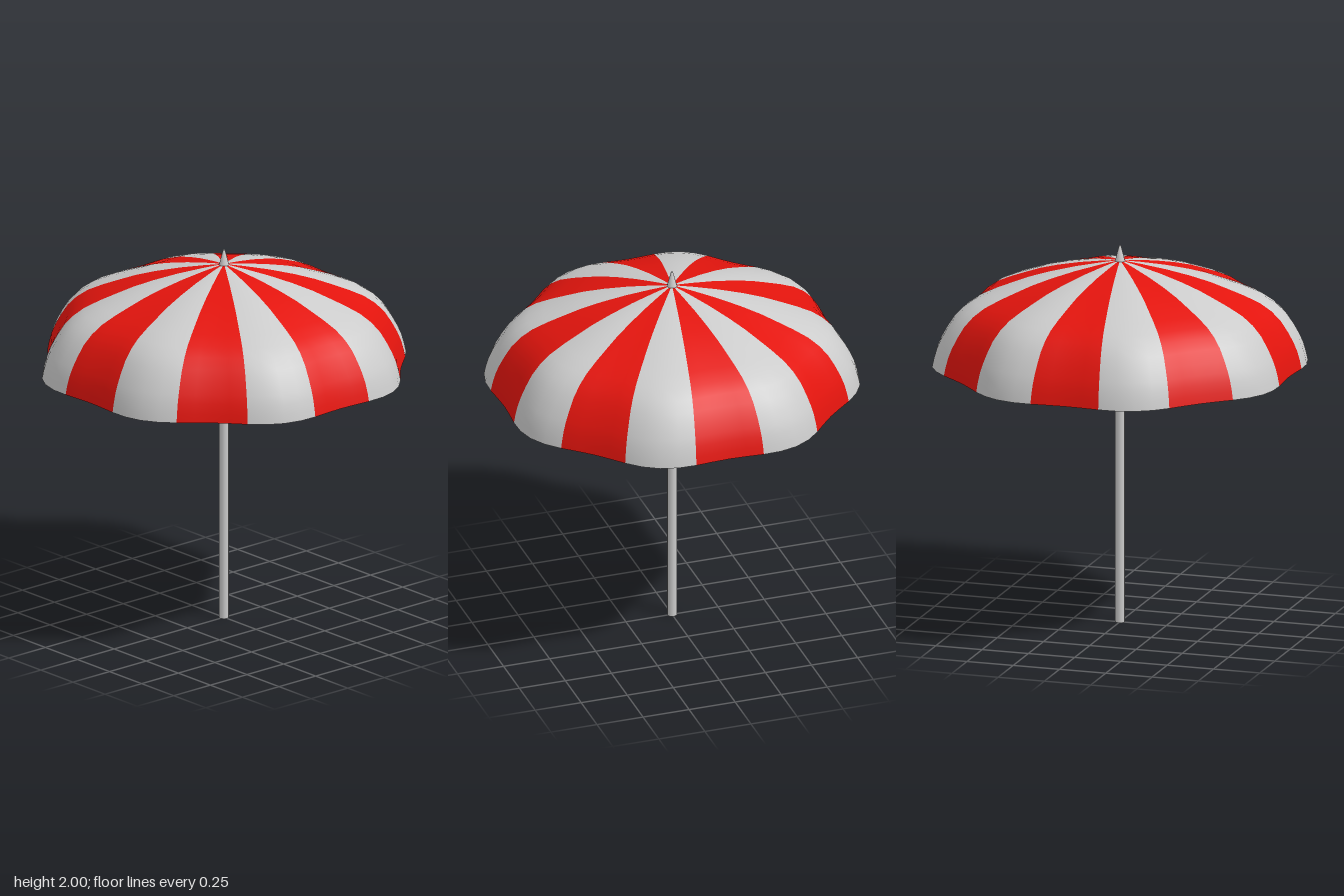
import * as THREE from 'three';

const STRIPES = 16, PER_STRIPE = 4, RINGS = 14;

// Scalloped canopy: one smooth grid, its faces shared out between red and grey stripes
function buildCanopy() {
  const profile = new THREE.SplineCurve([
    [0, 1.922], [0.22, 1.887], [0.45, 1.834], [0.613, 1.779], [0.77, 1.716],
    [0.873, 1.638], [0.942, 1.537], [0.98, 1.455], [1, 1.373],
  ].map(([r, y]) => new THREE.Vector2(r, y))).getPoints(RINGS);

  const around = STRIPES * PER_STRIPE;
  const positions = [];
  for (const p of profile) {
    for (let j = 0; j < around; j++) {
      const a = ((j - PER_STRIPE / 2) / around) * Math.PI * 2;
      const r = p.x * (0.939 - 0.029 * Math.cos(8 * a)); // grey stripes billow outward
      positions.push(r * Math.sin(a), p.y, r * Math.cos(a));
    }
  }

  const faces = [[], []];
  for (let i = 0; i < RINGS; i++) {
    for (let j = 0; j < around; j++) {
      const k = (j + 1) % around;
      const a = i * around + j, b = a + around;
      const d = i * around + k, c = d + around;
      const list = faces[Math.floor(j / PER_STRIPE) % 2];
      list.push(a, b, c);
      if (i > 0) list.push(a, c, d);
    }
  }

  const whole = new THREE.BufferGeometry();
  whole.setAttribute('position', new THREE.Float32BufferAttribute(positions, 3));
  whole.setIndex(faces.flat());
  whole.computeVertexNormals();

  const canopy = new THREE.Group();
  canopy.name = 'canopy';
  [['redStripes', 0xe3140d], ['greyStripes', 0xcccccc]].forEach(([name, color], n) => {
    const geometry = new THREE.BufferGeometry();
    geometry.setAttribute('position', whole.getAttribute('position'));
    geometry.setAttribute('normal', whole.getAttribute('normal'));
    geometry.setIndex(faces[n]);
    const mesh = new THREE.Mesh(geometry, new THREE.MeshStandardMaterial({ color, side: THREE.DoubleSide }));
    mesh.name = name;
    canopy.add(mesh);
  });
  return canopy;
}

export function createModel() {
  const model = new THREE.Group();
  model.name = 'parasol';
  const grey = new THREE.MeshStandardMaterial({ color: 0xcccccc });

  // Straight pole
  const pole = new THREE.Mesh(new THREE.CylinderGeometry(0.025, 0.025, 1.91, 12), grey);
  pole.name = 'pole';
  pole.position.y = 0.955;

  // Pointed tip above the canopy
  const finial = new THREE.Mesh(new THREE.CylinderGeometry(0.005, 0.027, 0.085, 12), grey);
  finial.name = 'finial';
  finial.position.y = 1.9575;

  model.add(pole, finial, buildCanopy());
  return model;
}
